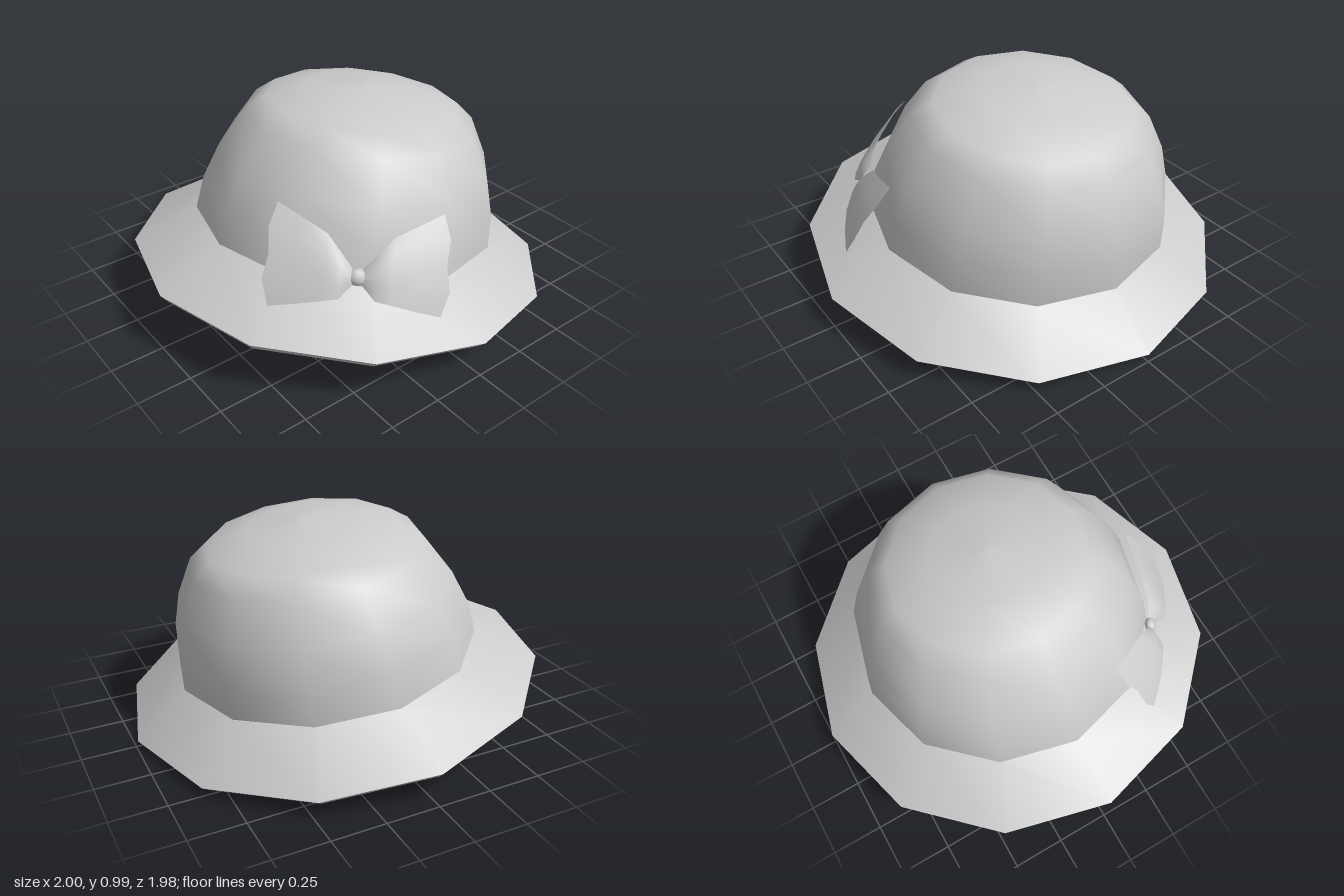
import * as THREE from 'three';
import { toCreasedNormals } from 'three/addons/utils/BufferGeometryUtils.js';

const SIDES = 12;
const material = new THREE.MeshStandardMaterial({ color: 0xcccccc, side: THREE.DoubleSide });

function addMesh(parent, name, geometry) {
  const mesh = new THREE.Mesh(geometry, material);
  mesh.name = name;
  parent.add(mesh);
  return mesh;
}

// Turned shape whose axis leans slightly backwards
function leaningLathe(profile, lean) {
  const points = profile.map(([r, y]) => new THREE.Vector2(r, y));
  const geometry = new THREE.LatheGeometry(points, SIDES);
  return geometry.applyMatrix4(new THREE.Matrix4().makeShear(0, 0, 0, lean, 0, 0));
}

// Half of the bow: a soft sheet fanning out from the knot to a notched edge
function wingGeometry(side) {
  // Columns of distance, top, bottom and bulge
  const columns = [
    [0.02, 0.03, -0.035, -0.01], [0.075, 0.095, -0.095, 0.02], [0.14, 0.172, -0.107, 0.02],
    [0.25, 0.232, -0.128, 0], [0.36, 0.288, -0.147, -0.035],
  ];
  const notches = [-0.007, 0.024, 0.015, 0.036, 0.004];
  const geometry = new THREE.PlaneGeometry(1, 1, 4, 4);
  const pos = geometry.attributes.position;
  for (let i = 0; i < pos.count; i++) {
    const col = i % 5;
    const row = Math.floor(i / 5);
    const [x, top, bottom, bulge] = columns[col];
    const notch = col === 4 ? notches[row] : 0;
    const puff = 0.015 * Math.sin((Math.PI * row) / 4);
    pos.setXYZ(i, side * (x + notch), THREE.MathUtils.lerp(top, bottom, row / 4), bulge + puff);
  }
  geometry.computeVertexNormals();
  return geometry;
}

export function createModel() {
  const model = new THREE.Group();
  model.name = 'hat';

  // Brim and crown share a tilt that lifts the front
  const hat = new THREE.Group();
  hat.name = 'hatBody';
  hat.position.set(0.003, 0.125, 0.005);
  hat.rotation.set(-0.132, 0.01, 0.01);
  model.add(hat);

  // Brim: closed underside, narrow rim and sloping top
  const brim = leaningLathe([[0, 0.175], [0.55, 0.175], [0.963, 0], [0.998, 0.035], [0.722, 0.212]], -0.09);
  addMesh(hat, 'brim', toCreasedNormals(brim, 0.35));

  // Crown: smooth rounded dome
  const crown = leaningLathe([
    [0.722, 0], [0.704, 0.158], [0.647, 0.325], [0.546, 0.504],
    [0.455, 0.576], [0.252, 0.638], [0, 0.657],
  ], -0.06);
  addMesh(hat, 'crown', crown).position.set(-0.003, 0.212, -0.019);

  // Bow on the left front of the crown
  const bow = new THREE.Group();
  bow.name = 'bow';
  const across = new THREE.Vector3(0.591, -0.104, -0.8).normalize();
  const out = across.clone().cross(new THREE.Vector3(-0.356, 0.839, -0.414)).normalize();
  const up = out.clone().cross(across);
  bow.quaternion.setFromRotationMatrix(new THREE.Matrix4().makeBasis(across, up, out));
  bow.position.set(0.608, 0.46, 0.37);
  model.add(bow);

  for (const side of [-1, 1]) {
    addMesh(bow, side < 0 ? 'frontBowWing' : 'backBowWing', wingGeometry(side));
  }
  const knot = addMesh(bow, 'bowKnot', new THREE.SphereGeometry(1, 8, 6));
  knot.scale.set(0.04, 0.038, 0.025);
  knot.position.z = -0.008;

  return model;
}
